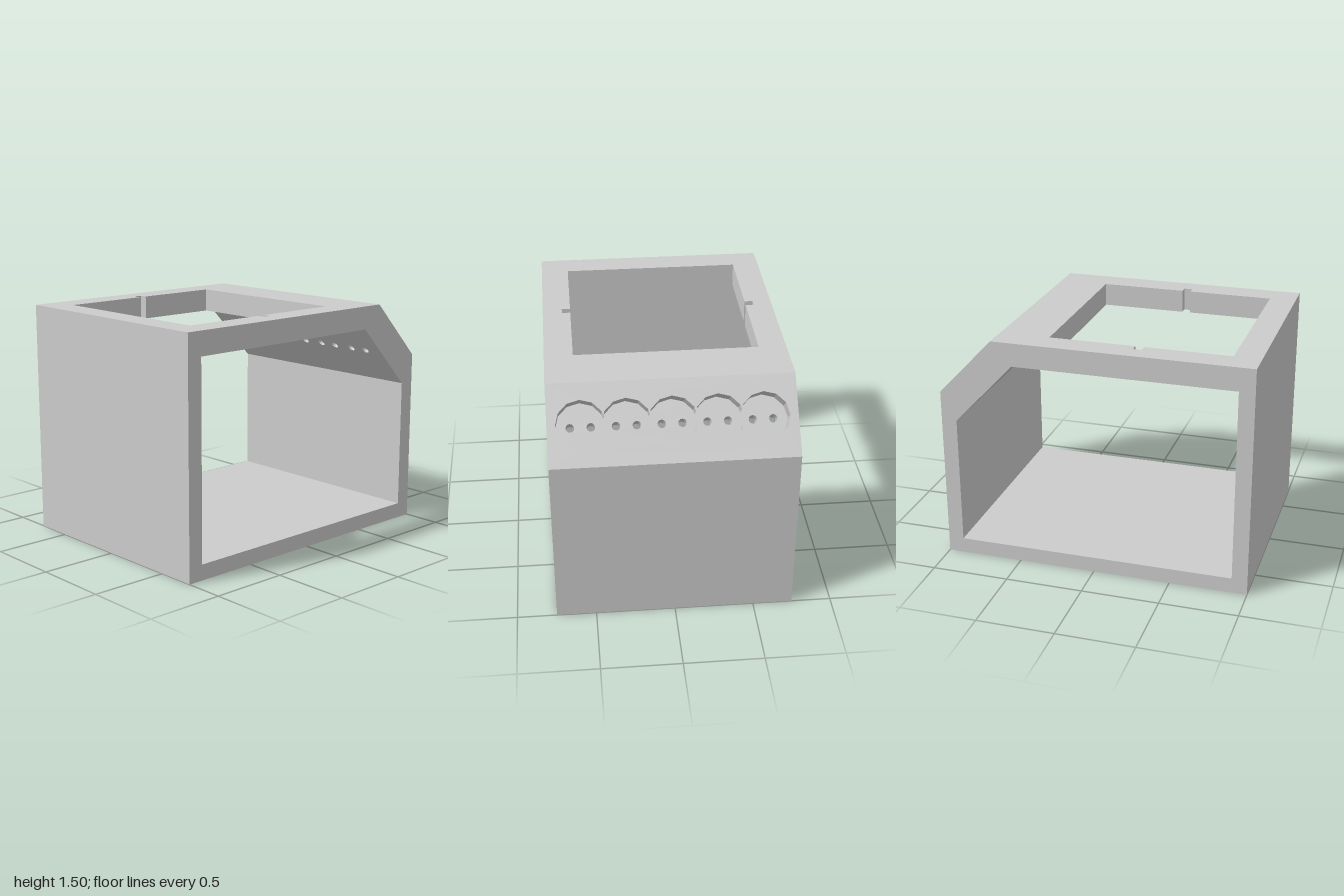
import * as THREE from 'three';

const DEPTH = 1.5;
const HALF = DEPTH / 2;
const V = (x, y) => new THREE.Vector2(x, y);

// Corners of the cross-section (outer / inner), seen from the front
const wallOut = V(1, 1.128), wallIn = V(0.9, 0.943);
const ridgeOut = V(0.647, 1.5), ridgeIn = V(0.514, 1.35);
const leftOut = V(-1, 1.5), leftIn = V(-0.9, 1.35);

// Plate layer with mitred ends: outer line A-B, inner line a-b, depth fractions t0..t1.
// Hole paths use (-z, distance from A along A-B).
function panel(name, material, [A, B, a, b], thickness, t0, t1, holes) {
  const L = A.distanceTo(B);
  const u = B.clone().sub(A).normalize();
  const n = V(u.y, -u.x);
  const shape = new THREE.Shape([V(-HALF, 0), V(HALF, 0), V(HALF, L), V(-HALF, L)]);
  shape.holes = holes.map((pts) => new THREE.Path(pts));
  const geo = new THREE.ExtrudeGeometry(shape, { depth: 1, bevelEnabled: false });
  const pos = geo.attributes.position;
  const p = new THREE.Vector2();
  for (let i = 0; i < pos.count; i++) {
    const x = pos.getX(i), s = pos.getY(i);
    const t = t1 + (t0 - t1) * pos.getZ(i);
    if (Math.abs(s) < 1e-5) p.lerpVectors(A, a, t);
    else if (Math.abs(s - L) < 1e-5) p.lerpVectors(B, b, t);
    else p.copy(A).addScaledVector(u, s).addScaledVector(n, -thickness * t);
    pos.setXYZ(i, p.x, p.y, -x);
  }
  geo.computeVertexNormals();
  const mesh = new THREE.Mesh(geo, material);
  mesh.name = name;
  return mesh;
}

function polygon(cx, cy, r, sides) {
  return Array.from({ length: sides }, (_, i) => {
    const a = (i / sides) * Math.PI * 2;
    return V(cx + r * Math.cos(a), cy + r * Math.sin(a));
  });
}

// Joined outline of the row of overlapping twelve-sided pockets
function pocketOutline(centres, cy, r) {
  const pitch = centres[1] - centres[0];
  const deg = Math.PI / 180;
  const cusp = (r * Math.cos(0) - pitch / 2) / Math.tan(15 * deg);
  const upper = [];
  centres.forEach((c, i) => {
    for (let a = 150; a >= 30; a -= 30) {
      upper.push(V(c + r * Math.cos(a * deg), r * Math.sin(a * deg)));
    }
    if (i < centres.length - 1) upper.push(V(c + pitch / 2, cusp));
  });
  const lower = upper.map((p) => V(p.x, -p.y)).reverse();
  const first = V(centres[0] - r, 0);
  const last = V(centres[centres.length - 1] + r, 0);
  return [first, ...upper, last, ...lower].map((p) => V(p.x, p.y + cy));
}

export function createModel() {
  const group = new THREE.Group();
  group.name = 'housing';
  const material = new THREE.MeshStandardMaterial({ color: 0xcccccc, flatShading: true });

  // Floor and both side walls as one open channel
  const channel = new THREE.Shape([
    V(-1, 0), V(1, 0), wallOut, wallIn, V(0.9, 0.1), V(-0.9, 0.1), leftIn, leftOut,
  ]);
  const channelGeo = new THREE.ExtrudeGeometry(channel, { depth: DEPTH, bevelEnabled: false });
  channelGeo.translate(0, 0, -HALF);
  const walls = new THREE.Mesh(channelGeo, material);
  walls.name = 'floorAndSideWalls';
  group.add(walls);

  // Roof with a rectangular opening notched front and back
  const opening = [
    V(-0.572, 0.322), V(0.578, 0.322),
    V(0.578, 0.872), V(0.631, 0.872), V(0.631, 0.925), V(0.578, 0.925),
    V(0.578, 1.475), V(-0.572, 1.475),
    V(-0.572, 0.925), V(-0.626, 0.925), V(-0.626, 0.872), V(-0.572, 0.872),
  ];
  group.add(panel('roof', material, [ridgeOut, leftOut, ridgeIn, leftIn], 0.15, 0, 1, [opening]));

  // Sloped panel: outer layer holds the pockets, inner layer the pin holes
  const slope = [wallOut, ridgeOut, wallIn, ridgeIn];
  const centres = [-0.55, -0.275, 0, 0.275, 0.55];
  const mid = wallOut.distanceTo(ridgeOut) / 2;
  const pins = centres.flatMap((c) => [-0.0625, 0.0625].map((d) => polygon(c + d, mid, 0.026, 12)));
  group.add(panel('slopedPanelPockets', material, slope, 0.2, 0, 0.5, [pocketOutline(centres, mid, 0.15)]));
  group.add(panel('slopedPanelPinHoles', material, slope, 0.2, 0.5, 1, pins));

  return group;
}
